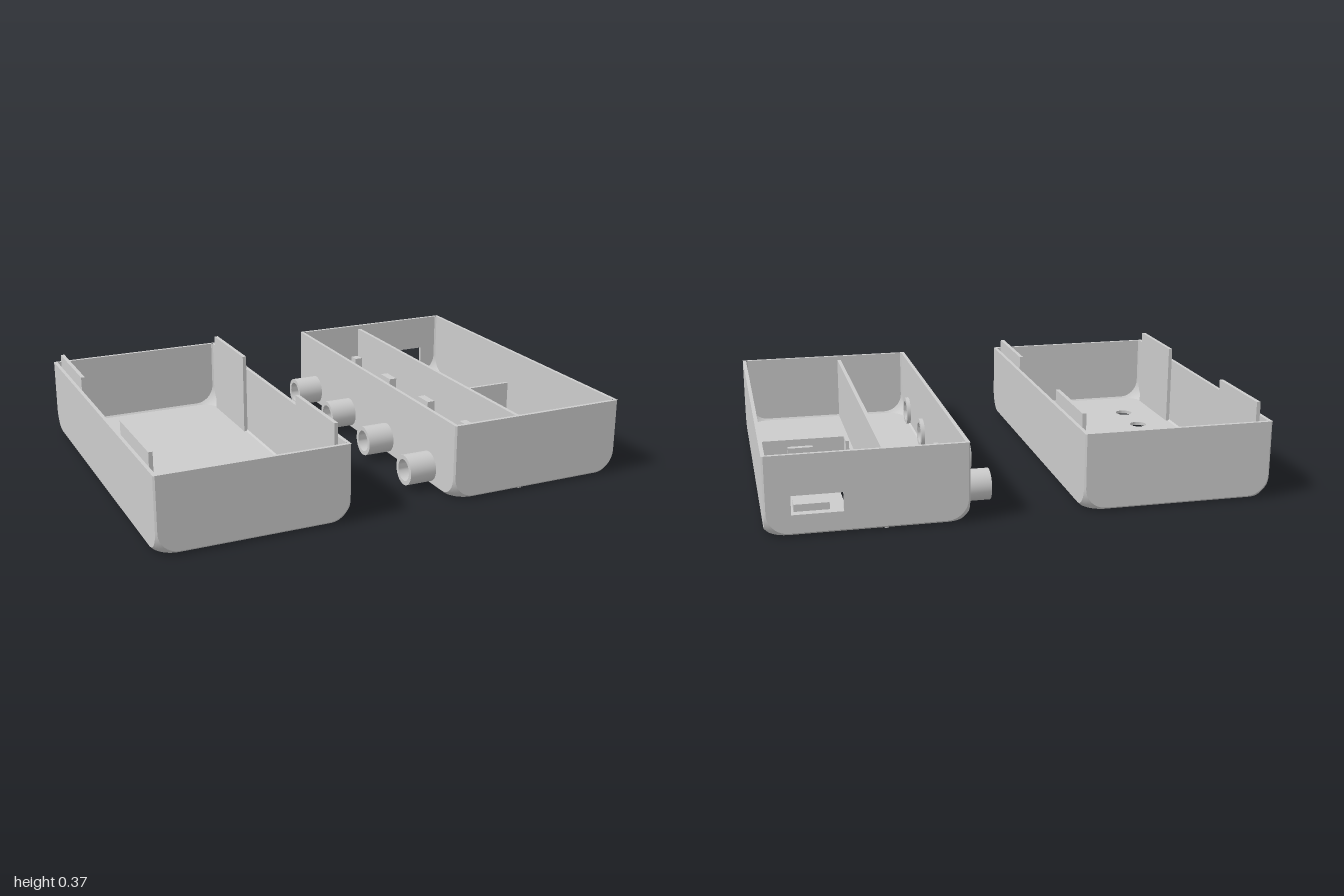
import * as THREE from 'three';
import { toCreasedNormals } from 'three/addons/utils/BufferGeometryUtils.js';

const grey = new THREE.MeshStandardMaterial({ color: 0xcccccc });
const V2 = (x, y) => new THREE.Vector2(x, y);
const V3 = (x, y, z) => new THREE.Vector3(x, y, z);

// Half width, half length, bottom, top and wall thickness of a tray
const W = 0.3875, L = 0.755, Y0 = 0.006, TOP = 0.318, T = 0.015;
// Ball corners: inset of the ball centre, arc radius on each face, ball radius
const INSET = 0.09, ARC = 0.083, BALL = Math.hypot(INSET, ARC);

function add(group, name, geometry) {
  const mesh = new THREE.Mesh(geometry, grey);
  mesh.name = name;
  group.add(mesh);
  return mesh;
}

// Box given by its limits
function block(group, name, x0, x1, y0, y1, z0, z1) {
  add(group, name, new THREE.BoxGeometry(x1 - x0, y1 - y0, z1 - z0))
    .position.set((x0 + x1) / 2, (y0 + y1) / 2, (z0 + z1) / 2);
}

// Hole outlines, counterclockwise
const rectHole = (x0, x1, y0, y1) => [V2(x0, y0), V2(x1, y0), V2(x1, y1), V2(x0, y1)];
const roundHole = (x, y, r) => Array.from({ length: 32 }, (_, i) => {
  const a = i / 32 * Math.PI * 2;
  return V2(x + r * Math.cos(a), y + r * Math.sin(a));
});

// Five faces of an open tray; each has a flat panel and a rim that blends into the ball corners
function traySkin(out, inset, flip, holes) {
  const hw = W - inset, hl = L - inset, y0 = Y0 + inset;
  const tri = (a, b, c) => (flip ? [a, c, b] : [a, b, c]).forEach(p => out.push(p.x, p.y, p.z));
  const quad = (a, b, c, d) => { tri(a, b, c); tri(a, c, d); };
  const faces = [
    { key: 'floor', w: V3(0, -1, 0), hu: hw, depth: -y0 },
    { key: 'front', w: V3(0, 0, 1), hu: hw, depth: hl },
    { key: 'back', w: V3(0, 0, -1), hu: hw, depth: hl },
    { key: 'left', w: V3(1, 0, 0), hu: hl, depth: hw },
    { key: 'right', w: V3(-1, 0, 0), hu: hl, depth: hw },
  ];
  for (const { key, w, hu, depth } of faces) {
    const floor = key === 'floor';
    const v = floor ? V3(0, 0, 1) : V3(0, 1, 0);
    const u = v.clone().cross(w);
    const at = (a, b, c) => V3(0, 0, 0).addScaledVector(u, a).addScaledVector(v, b).addScaledVector(w, c);

    // Outline stations: ball centre and angle
    const stations = [], cu = hu - INSET, cv = floor ? hl - INSET : 0, low = floor ? -cv : y0 + INSET;
    const corner = (x, y, start) => {
      for (let i = 0; i <= 12; i++) stations.push([x, y, start + i / 12 * Math.PI / 2]);
    };
    if (!floor) stations.push([-cu, TOP, Math.PI]);
    corner(-cu, low, Math.PI);
    corner(cu, low, Math.PI * 1.5);
    if (floor) {
      corner(cu, cv, 0);
      corner(-cu, cv, Math.PI / 2);
      stations.push(stations[0]);
    } else stations.push([cu, TOP, 0]);

    // Rim
    const S = 5;
    const rows = stations.map(([x, y, a]) => {
      const c = Math.cos(a), s = Math.sin(a);
      const from = V3(ARC * c, ARC * s, INSET).normalize();
      const to = V3(c, s, Math.max(Math.abs(c), Math.abs(s))).normalize();
      return Array.from({ length: S + 1 }, (_, k) => {
        const d = from.clone().lerp(to, k / S).setLength(BALL);
        return at(x + d.x, y + d.y, depth - INSET + d.z);
      });
    });
    for (let i = 0; i + 1 < rows.length; i++)
      for (let k = 0; k < S; k++) quad(rows[i][k], rows[i][k + 1], rows[i + 1][k + 1], rows[i + 1][k]);

    // Flat panel with its holes
    const contour = stations.map(([x, y, a]) => V2(x + ARC * Math.cos(a), y + ARC * Math.sin(a)));
    if (floor) contour.pop();
    const cuts = holes[key] || [];
    const flat = [contour, ...cuts].flat().map(p => at(p.x, p.y, depth));
    THREE.ShapeUtils.triangulateShape(contour, cuts.map(h => h.slice()))
      .forEach(([a, b, c]) => tri(flat[a], flat[b], flat[c]));

    // Hole linings through the wall
    if (!flip) for (const h of cuts) h.forEach((p, i) => {
      const q = h[(i + 1) % h.length];
      quad(at(p.x, p.y, depth - T), at(p.x, p.y, depth), at(q.x, q.y, depth), at(q.x, q.y, depth - T));
    });
  }
}

function tray(name, holes) {
  const group = new THREE.Group();
  group.name = name;
  const out = [];
  traySkin(out, 0, false, holes);
  traySkin(out, T, true, holes);
  const geometry = new THREE.BufferGeometry();
  geometry.setAttribute('position', new THREE.Float32BufferAttribute(out, 3));
  add(group, 'trayShell', toCreasedNormals(geometry, 0.4));
  const rim = new THREE.Shape(rectHole(-W, W, -L, L));
  rim.holes.push(new THREE.Path(rectHole(T - W, W - T, T - L, L - T)));
  add(group, 'trayRim', new THREE.ShapeGeometry(rim).rotateX(-Math.PI / 2)).position.y = TOP;
  return group;
}

export function createModel() {
  const model = new THREE.Group();
  const CX = 1 - W, FLOOR = Y0 + T - 0.002;

  // Lid tray with two round holes and four locating tabs
  const lid = tray('lid', { floor: [roundHole(-0.205, 0.27, 0.038), roundHole(-0.205, 0.475, 0.038)] });
  lid.position.x = -CX;
  for (const sx of [-1, 1])
    for (const sz of [-1, 1]) {
      const x = sx * 0.365, z = sz * 0.48;
      block(lid, 'locatingTab', x - 0.008, x + 0.008, FLOOR, 0.374, z - 0.184, z + 0.184);
    }
  model.add(lid);

  // Base tray with floor slots, a port window and four socket openings
  const socketZ = [-0.56, -0.19, 0.18, 0.55], socketY = 0.08;
  const base = tray('base', {
    floor: [rectHole(0.64 - CX, 0.675 - CX, -0.68, -0.18), rectHole(0.93 - CX, 0.963 - CX, -0.68, -0.18)],
    back: [rectHole(CX - 0.9, CX - 0.705, 0.085, 0.16)],
    right: socketZ.map(z => roundHole(z, socketY, 0.045)),
  });
  base.position.x = CX;
  model.add(base);

  // Socket tubes through the side wall
  const ring = [[0.045, 0], [0.063, 0], [0.063, 0.147], [0.045, 0.147], [0.045, 0]].map(p => V2(...p));
  const tube = toCreasedNormals(new THREE.LatheGeometry(ring, 32).rotateZ(-Math.PI / 2), 0.6);
  for (const z of socketZ) add(model, 'socketTube', tube).position.set(0.11, socketY, z);

  // Long partition and the board supports beside it
  block(model, 'partition', 0.537, 0.553, 0, 0.3, -0.742, 0.742);
  for (let i = -2; i <= 2; i++) {
    const z = i * 0.37, lim = a => THREE.MathUtils.clamp(a, -0.742, 0.742);
    block(model, 'boardBlock', 0.442, 0.49, FLOOR, 0.06, lim(z - 0.083), lim(z + 0.083));
    block(model, 'boardClip', 0.502, 0.538, FLOOR, 0.16, lim(z - 0.046), lim(z + 0.046));
  }

  // Compartment walls, stop and floor pads
  block(model, 'compartmentPost', 0.608, 0.622, FLOOR, 0.16, -0.69, -0.62);
  block(model, 'compartmentPost', 0.608, 0.622, FLOOR, 0.16, -0.13, -0.05);
  block(model, 'compartmentWall', 0.608, 0.986, FLOOR, 0.16, -0.06, -0.045);
  block(model, 'compartmentStop', 0.755, 0.86, FLOOR, 0.13, -0.085, -0.058);
  block(model, 'floorPad', 0.738, 0.877, FLOOR, 0.05, -0.55, -0.49);
  block(model, 'floorPad', 0.738, 0.877, FLOOR, 0.05, -0.28, -0.2);
  return model;
}
